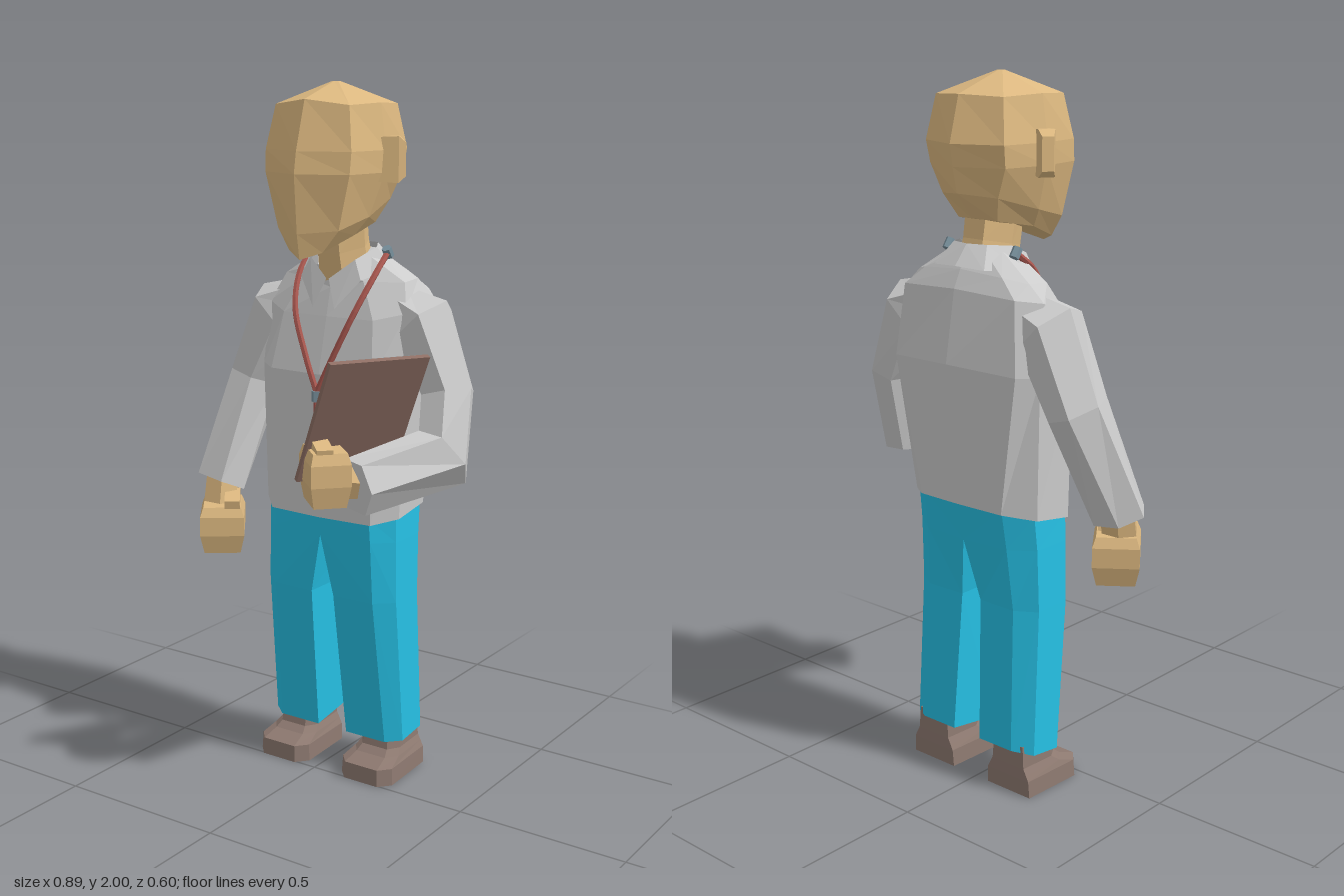
import * as THREE from 'three';

const mat = (color) => new THREE.MeshStandardMaterial({ color, flatShading: true });
const MAT = {
  skin: mat(0xdcb880), shirt: mat(0xcccccc), jeans: mat(0x26c0e4), shoe: mat(0x8d7970),
  board: mat(0x8d6e63), steel: mat(0x78909c), tube: mat(0xa8574f), paper: mat(0xcccccc),
};
const V = (p) => new THREE.Vector3(...p);

function add(parent, name, geo, material, pos = [0, 0, 0], rot = [0, 0, 0]) {
  const m = new THREE.Mesh(geo, material);
  m.name = name;
  m.position.set(...pos);
  m.rotation.set(...rot);
  parent.add(m);
  return m;
}

// Closed low-poly skin over a list of rings, capped at both ends and wound outward
function loft(rings) {
  const tris = [];
  const n = rings[0].length;
  for (let r = 0; r < rings.length - 1; r++) for (let i = 0; i < n; i++) {
    const j = (i + 1) % n, a = rings[r], b = rings[r + 1];
    tris.push([a[i], a[j], b[j]], [a[i], b[j], b[i]]);
  }
  const cap = (ring, flip) => {
    const c = [0, 1, 2].map((k) => ring.reduce((s, p) => s + p[k], 0) / n);
    ring.forEach((p, i) => {
      const q = ring[(i + 1) % n];
      tris.push(flip ? [c, q, p] : [c, p, q]);
    });
  };
  cap(rings[0], true);
  cap(rings[rings.length - 1], false);
  const volume = tris.reduce((s, [a, b, c]) => s + V(a).dot(V(b).cross(V(c))), 0);
  if (volume < 0) tris.forEach((t) => t.reverse());
  const geo = new THREE.BufferGeometry();
  geo.setAttribute('position', new THREE.Float32BufferAttribute(tris.flat(2), 3));
  geo.computeVertexNormals();
  return geo;
}

// Half outline (front middle to back middle) completed by its mirror image
const mirrorRing = (half) => [...half, ...half.slice(1, -1).reverse().map(([x, y, z]) => [-x, y, z])];

// Six-sided limb along a path of [x, y, z, width radius, depth radius]
function limb(path) {
  const c = path.map((p) => V(p.slice(0, 3)));
  return loft(path.map((p, i) => {
    const t = new THREE.Vector3();
    if (i > 0) t.add(c[i].clone().sub(c[i - 1]).normalize());
    if (i < c.length - 1) t.add(c[i + 1].clone().sub(c[i]).normalize());
    t.normalize();
    const u = new THREE.Vector3(1, 0, 0).addScaledVector(t, -t.x).normalize();
    const v = t.clone().cross(u);
    return Array.from({ length: 6 }, (_, k) => {
      const a = k * Math.PI / 3;
      return c[i].clone().addScaledVector(u, Math.cos(a) * p[3]).addScaledVector(v, Math.sin(a) * p[4] * 1.1).toArray();
    });
  }));
}

// Blocky fist: tapered finger block, knuckle step and thumb
function fist(name, pos, rotY, size, thumbPos) {
  const g = new THREE.Group();
  g.name = name;
  g.position.set(...pos);
  g.rotation.y = rotY;
  const [w, h, d] = size;
  const box = (y, s) => [[-s, -1], [s, -1], [s, 1], [-s, 1]].map(([x, z]) => [x * w / 2, y, z * s * d / 2]);
  add(g, 'fingers', loft([box(-h / 2, 0.82), box(-h * 0.1, 1), box(h * 0.3, 1), box(h / 2, 0.85)]), MAT.skin);
  add(g, 'thumb', new THREE.BoxGeometry(0.045, 0.05, 0.09), MAT.skin, thumbPos, [0.2, 0, 0]);
  return g;
}

export function createModel() {
  const model = new THREE.Group();
  const body = new THREE.Group();
  body.name = 'body';
  body.position.x = 0.02;
  model.add(body);

  // Head
  add(body, 'head', loft([
    [[0, 2.0, -0.065], [0.01, 2.0, -0.07], [0.012, 2.0, -0.075], [0.01, 2.0, -0.08], [0, 2.0, -0.085]],
    [[0, 1.955, 0.075], [0.12, 1.94, 0.04], [0.145, 1.945, -0.075], [0.12, 1.94, -0.2], [0, 1.945, -0.24]],
    [[0, 1.82, 0.115], [0.14, 1.82, 0.06], [0.163, 1.82, -0.075], [0.14, 1.82, -0.22], [0, 1.82, -0.275]],
    [[0, 1.76, 0.125], [0.138, 1.76, 0.065], [0.16, 1.76, -0.075], [0.135, 1.76, -0.21], [0, 1.76, -0.265]],
    [[0, 1.6, 0.112], [0.1, 1.61, 0.06], [0.12, 1.64, -0.06], [0.1, 1.68, -0.2], [0, 1.69, -0.25]],
    [[0, 1.53, 0.1], [0.055, 1.55, 0.07], [0.085, 1.59, -0.04], [0.07, 1.615, -0.17], [0, 1.62, -0.195]],
  ].map(mirrorRing)), MAT.skin);

  // Neck
  add(body, 'neck', limb([[0, 1.64, -0.1, 0.075, 0.08], [0, 1.55, -0.115, 0.072, 0.08], [0, 1.44, -0.14, 0.08, 0.085]]), MAT.skin);

  // Ears, sweeping outward and back
  for (const s of [-1, 1]) {
    const slab = (x, z, h, t) => [[-h, t], [h, t], [h, -t], [-h, -t]].map(([y, dz]) => [s * (x + dz * 0.6), 1.795 + y, z + dz]);
    add(body, s > 0 ? 'leftEar' : 'rightEar',
      loft([slab(0.14, -0.075, 0.06, 0.017), slab(0.185, -0.105, 0.062, 0.02), slab(0.2, -0.117, 0.045, 0.014)]), MAT.skin);
  }

  // Shirt
  add(body, 'shirt', loft([
    [[0, 0.785, 0.01], [0.17, 0.785, 0], [0.228, 0.8, -0.06], [0.228, 0.82, -0.19], [0.15, 0.835, -0.25], [0, 0.84, -0.265]],
    [[0, 1.2, 0.008], [0.17, 1.2, 0], [0.24, 1.2, -0.06], [0.245, 1.22, -0.2], [0.22, 1.23, -0.27], [0, 1.24, -0.3]],
    [[0, 1.36, -0.03], [0.15, 1.36, -0.035], [0.23, 1.38, -0.08], [0.25, 1.42, -0.19], [0.2, 1.43, -0.25], [0, 1.44, -0.265]],
    [[0, 1.44, -0.05], [0.1, 1.46, -0.065], [0.2, 1.46, -0.12], [0.2, 1.465, -0.19], [0.14, 1.48, -0.23], [0, 1.49, -0.24]],
    [[0, 1.47, -0.055], [0.05, 1.5, -0.06], [0.085, 1.53, -0.11], [0.085, 1.54, -0.17], [0.05, 1.54, -0.2], [0, 1.54, -0.21]],
  ].map(mirrorRing)), MAT.shirt);

  // Collar with two pointed front flaps
  const top = [[0, 1.555, -0.215], [0.06, 1.555, -0.2], [0.095, 1.55, -0.14], [0.075, 1.52, -0.06], [0.004, 1.465, -0.035]];
  const low = [[0, 1.5, -0.26], [0.09, 1.495, -0.245], [0.14, 1.49, -0.15], [0.1, 1.465, -0.05], [0.036, 1.385, -0.015]];
  const collarMat = MAT.shirt.clone();
  collarMat.side = THREE.DoubleSide;
  for (const s of [-1, 1]) {
    const p = [];
    const f = ([x, y, z]) => [x * s, y, z];
    for (let i = 0; i < 4; i++) {
      const q = [top[i], low[i], low[i + 1], top[i], low[i + 1], top[i + 1]].map(f);
      if (s > 0) q.reverse();
      p.push(...q.flat());
    }
    const geo = new THREE.BufferGeometry();
    geo.setAttribute('position', new THREE.Float32BufferAttribute(p, 3));
    geo.computeVertexNormals();
    add(body, s > 0 ? 'leftCollar' : 'rightCollar', geo, collarMat);
  }

  // Trouser legs and shoes
  const leg = [
    [[0, 0.8, 0], [0.16, 0.8, -0.008], [0.218, 0.81, -0.06], [0.218, 0.83, -0.19], [0.145, 0.845, -0.243], [0, 0.85, -0.258]],
    [[0, 0.73, 0], [0.165, 0.73, -0.008], [0.22, 0.73, -0.06], [0.22, 0.73, -0.18], [0.15, 0.73, -0.228], [0, 0.73, -0.24]],
    [[0.038, 0.55, -0.012], [0.17, 0.55, -0.015], [0.222, 0.55, -0.06], [0.222, 0.55, -0.175], [0.16, 0.55, -0.213], [0.035, 0.55, -0.21]],
    [[0.05, 0.11, -0.065], [0.185, 0.11, -0.065], [0.226, 0.113, -0.1], [0.226, 0.125, -0.2], [0.17, 0.135, -0.235], [0.05, 0.135, -0.235]],
  ];
  const outline = (y, w, front, back) => mirrorRing([[0, y, front], [w * 0.65, y, front], [w, y, front - 0.035], [w * 0.9, y, back], [0, y, back]]);
  for (const s of [-1, 1]) {
    const side = s > 0 ? 'left' : 'right';
    add(body, side + 'TrouserLeg', loft(leg.map((r) => r.map(([x, y, z]) => [x * s, y, z]))), MAT.jeans);
    add(body, side + 'Shoe', loft([
      outline(0, 0.088, 0.005, -0.22), outline(0.05, 0.085, 0.003, -0.222), outline(0.068, 0.075, -0.05, -0.222),
      outline(0.085, 0.065, -0.072, -0.222), outline(0.15, 0.06, -0.085, -0.22),
    ]), MAT.shoe, [s * 0.147, 0, 0]);
  }

  // Sleeves: right arm hangs, left arm is bent forward
  add(model, 'rightSleeve', limb([
    [-0.13, 1.39, -0.16, 0.06, 0.07], [-0.22, 1.345, -0.155, 0.1, 0.095],
    [-0.305, 1.14, -0.14, 0.075, 0.085], [-0.358, 0.83, -0.025, 0.09, 0.062],
  ]), MAT.shirt);
  add(model, 'leftSleeve', limb([
    [0.17, 1.39, -0.16, 0.06, 0.07], [0.26, 1.345, -0.155, 0.1, 0.095], [0.345, 1.16, -0.15, 0.075, 0.085],
    [0.365, 0.99, -0.095, 0.078, 0.11], [0.26, 0.95, 0.185, 0.075, 0.075],
  ]), MAT.shirt);

  // Hands and wrists
  add(model, 'rightWrist', limb([[-0.355, 0.87, -0.03, 0.055, 0.04], [-0.345, 0.74, 0.0, 0.06, 0.045]]), MAT.skin);
  model.add(fist('rightHand', [-0.33, 0.705, 0.005], 0.63, [0.13, 0.14, 0.17], [0.03, 0.075, 0.03]));
  add(model, 'leftWrist', limb([[0.28, 0.96, 0.13, 0.05, 0.05], [0.19, 0.97, 0.22, 0.05, 0.05]]), MAT.skin);
  model.add(fist('leftHand', [0.178, 0.975, 0.206], 0.82, [0.11, 0.15, 0.155], [-0.015, 0.07, 0.02]));

  // Clipboard leaning against the bent arm
  const clipboard = new THREE.Group();
  clipboard.name = 'clipboard';
  const up = new THREE.Vector3(0.39, 0.91, 0.15).normalize();
  const normal = new THREE.Vector3(-0.45, -0.06, 0.89).cross(up).normalize();
  clipboard.quaternion.setFromRotationMatrix(new THREE.Matrix4().makeBasis(up.clone().cross(normal), up, normal));
  clipboard.position.set(0.236, 1.122, 0.117);
  model.add(clipboard);
  add(clipboard, 'board', new THREE.BoxGeometry(0.31, 0.38, 0.014), MAT.board);
  add(clipboard, 'paper', new THREE.BoxGeometry(0.27, 0.34, 0.006), MAT.paper, [0, -0.01, 0.01]);
  add(clipboard, 'clip', new THREE.BoxGeometry(0.26, 0.03, 0.014), MAT.steel, [0, 0.165, 0.014]);

  // Stethoscope
  const hose = (name, pts) => add(body, name, new THREE.TubeGeometry(new THREE.CatmullRomCurve3(pts.map(V)), 20, 0.009, 6), MAT.tube);
  for (const s of [-1, 1]) {
    const side = s > 0 ? 'left' : 'right';
    hose(side + 'Hose', [[s * 0.122, 1.535, -0.155], [s * 0.125, 1.48, -0.085], [s * 0.1, 1.38, -0.02], [s * 0.045, 1.25, 0.008], [0, 1.15, 0.018]]);
    add(body, side + 'EarTip', new THREE.CylinderGeometry(0.014, 0.014, 0.03, 6), MAT.steel, [s * 0.122, 1.535, -0.155], [0.6, 0, 0]);
  }
  add(body, 'junction', new THREE.CylinderGeometry(0.015, 0.015, 0.03, 6), MAT.steel, [0, 1.14, 0.018]);
  hose('lowerHose', [[0, 1.13, 0.018], [0.005, 1.07, 0.018], [0.05, 1.02, 0.018], [0.11, 1.05, 0.018], [0.135, 1.13, 0.018]]);
  add(body, 'chestPiece', new THREE.CylinderGeometry(0.036, 0.042, 0.022, 10), MAT.steel, [0.138, 1.145, 0.016], [Math.PI / 2, 0, 0]);

  return model;
}
